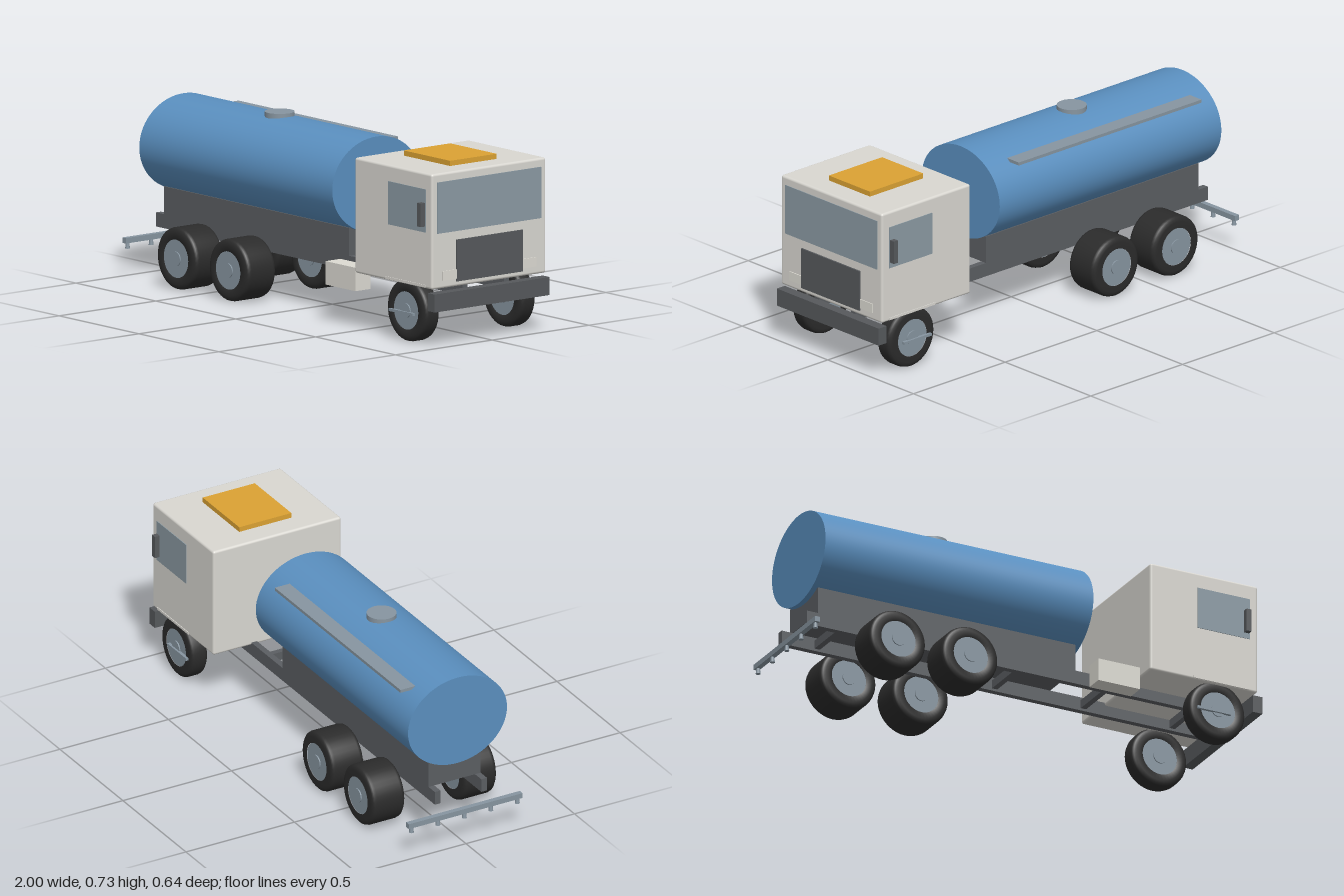
import * as THREE from 'three';
import { RoundedBoxGeometry } from 'three/addons/geometries/RoundedBoxGeometry.js';

const mat = (name, color) => {
  const m = new THREE.MeshStandardMaterial({ color });
  m.name = name;
  return m;
};

export function createModel() {
  const paint = mat('cabWhite', 0xd9d7d1);
  const blue = mat('tankBlue', 0x5a8fbf);
  const frame = mat('frameGrey', 0x5b5e62);
  const dark = mat('trimGrey', 0x56595c);
  const rubber = mat('tyreBlack', 0x2b2b2b);
  const steel = mat('steel', 0x8795a0);
  const glass = mat('glass', 0x8b9aa3);
  const amber = mat('amber', 0xdba233);
  const lamp = mat('lampWhite', 0xdcdad2);

  const model = new THREE.Group();
  model.name = 'tankerTruck';

  const add = (name, geometry, material, x = 0, y = 0, z = 0, parent = model) => {
    const mesh = new THREE.Mesh(geometry, material);
    mesh.name = name;
    mesh.position.set(x, y, z);
    parent.add(mesh);
    return mesh;
  };
  // Box given by its limits on each axis
  const box = (name, material, [x0, x1], [y0, y1], [z0, z1]) =>
    add(name, new THREE.BoxGeometry(x1 - x0, y1 - y0, z1 - z0), material,
      (x0 + x1) / 2, (y0 + y1) / 2, (z0 + z1) / 2);
  // Same box on both sides of the truck
  const pair = (name, material, xs, ys, [z0, z1]) => {
    box(name + 'Left', material, xs, ys, [-z1, -z0]);
    box(name + 'Right', material, xs, ys, [z0, z1]);
  };

  // Chassis: two rails, cross members and the tank cradle
  pair('chassisRail', frame, [-0.96, 0.96], [0.19, 0.247], [0.094, 0.12]);
  for (const x of [-0.8, -0.4, 0, 0.4, 0.8]) {
    box('crossMember', frame, [x - 0.012, x + 0.012], [0.2, 0.235], [-0.096, 0.096]);
  }
  box('tankCradle', frame, [-0.91, 0.25], [0.247, 0.36], [-0.12, 0.12]);
  box('sideLocker', lamp, [0.278, 0.465], [0.152, 0.247], [0.188, 0.265]);

  // Oval tank with manhole and walkway
  const tank = new THREE.CylinderGeometry(1, 1, 1.208, 64);
  tank.rotateZ(Math.PI / 2).scale(1, 0.193, 0.228);
  add('tank', tank, blue, -0.329, 0.527, 0);
  add('manhole', new THREE.CylinderGeometry(0.06, 0.06, 0.035, 32), steel, -0.33, 0.717, 0);
  box('walkway', steel, [-0.842, 0.155], [0.665, 0.678], [-0.21, -0.137]);

  // Cab
  add('cab', new RoundedBoxGeometry(0.484, 0.468, 0.59, 3, 0.01), paint, 0.738, 0.469, 0);
  box('windscreen', glass, [0.975, 0.983], [0.46, 0.668], [-0.268, 0.268]);
  box('grille', dark, [0.975, 0.987], [0.256, 0.425], [-0.17, 0.17]);
  pair('headlight', lamp, [0.975, 0.984], [0.267, 0.305], [0.17, 0.242]);
  box('bumper', dark, [0.957, 1], [0.147, 0.22], [-0.297, 0.297]);
  box('roofHatch', amber, [0.592, 0.882], [0.7, 0.724], [-0.12, 0.12]);
  pair('sideWindow', glass, [0.708, 0.943], [0.463, 0.638], [0.29, 0.298]);
  pair('mirror', dark, [0.917, 0.939], [0.487, 0.583], [0.295, 0.32]);
  pair('sillStrip', paint, [0.69, 0.94], [0.24, 0.25], [0.29, 0.298]);
  pair('step', steel, [0.71, 0.86], [0.112, 0.123], [0.25, 0.297]);

  // Wheels: rounded tyre, rim disc and hub, outer side towards +z
  const R = 0.126;
  const makeWheel = (width) => {
    const h = width / 2;
    const tyreProfile = [
      [0.078, -h], [R - 0.022, -h], [R - 0.01, -h + 0.003], [R - 0.003, -h + 0.009],
      [R, -h + 0.02], [R, h - 0.02], [R - 0.003, h - 0.009], [R - 0.01, h - 0.003],
      [R - 0.022, h], [0.078, h], [0.074, h - 0.012]
    ].map(([r, y]) => new THREE.Vector2(r, y));
    const wheel = new THREE.Group();
    wheel.name = 'wheel';
    add('tyre', new THREE.LatheGeometry(tyreProfile, 40).rotateX(Math.PI / 2), rubber, 0, 0, 0, wheel);
    const disc = (name, r, depth) =>
      add(name, new THREE.CylinderGeometry(r, r, depth, 32).rotateX(Math.PI / 2), steel, 0, 0, 0, wheel);
    disc('rim', 0.078, width - 0.004);
    disc('hub', 0.029, width + 0.006);
    return wheel;
  };
  for (const [x, width] of [[-0.634, 0.15], [-0.308, 0.15], [0.806, 0.077]]) {
    for (const side of [-1, 1]) {
      const wheel = makeWheel(width);
      wheel.position.set(x, R, side * (0.286 - width / 2));
      model.add(wheel);
    }
  }

  // Rear spray bar with five nozzles
  box('sprayBar', steel, [-0.998, -0.976], [0.135, 0.157], [-0.262, 0.262]);
  for (let i = -2; i <= 2; i++) {
    add('nozzle', new THREE.CylinderGeometry(0.007, 0.01, 0.026, 12), steel, -0.987, 0.125, i * 0.122);
  }

  return model;
}
